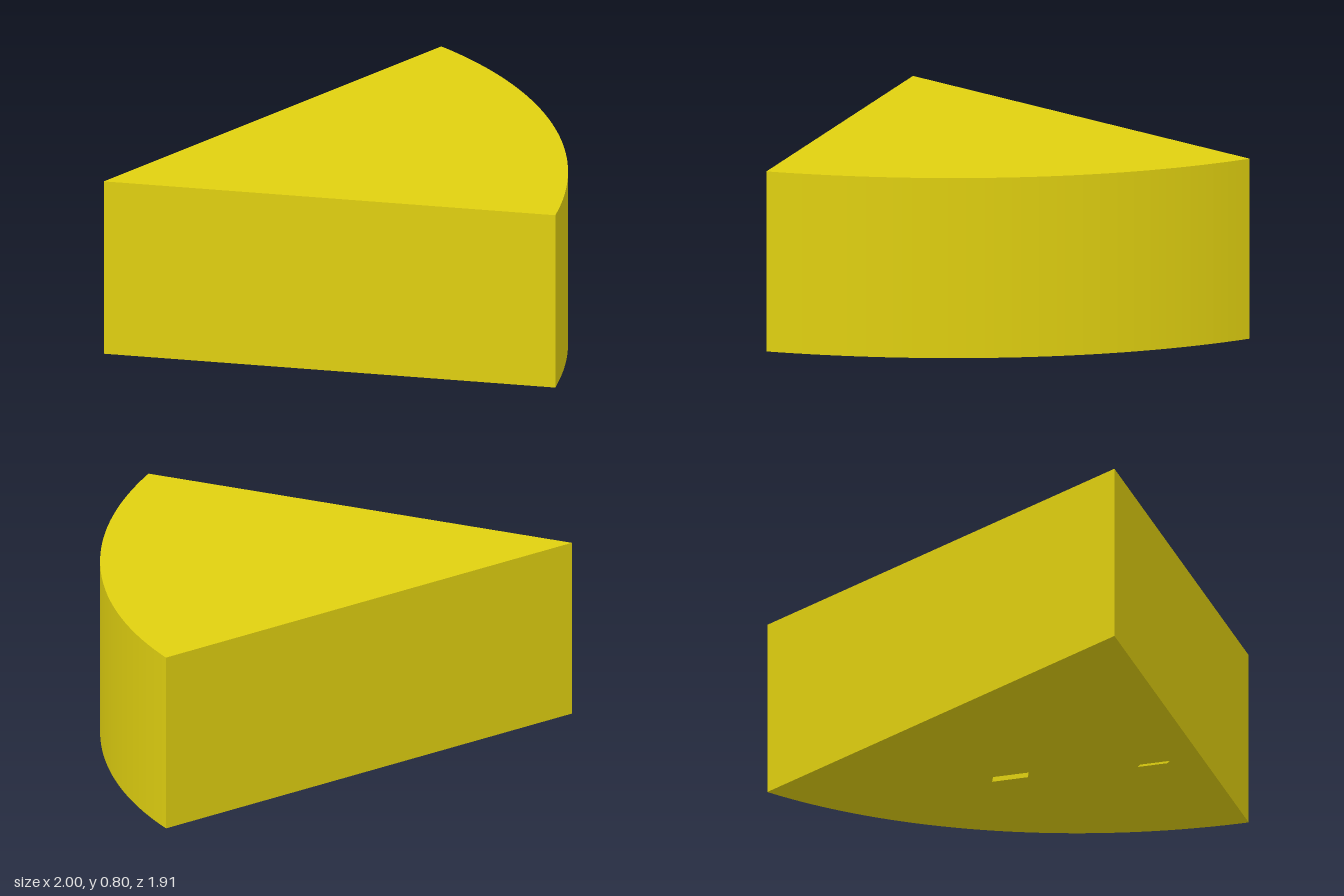
import * as THREE from 'three';

const HEIGHT = 0.8;
const RECESS = 0.16;

// Wedge outline in plan (shape y = -z): sharp corner plus an elliptical rind
function wedgeShape() {
  const s = new THREE.Shape();
  s.moveTo(-1, -0.953);
  s.lineTo(1, -0.953);
  s.absellipse(-1, -0.953, 2, 2.277, 0, 0.992, false, 0);
  s.closePath();
  return s;
}

// Narrow slit running along z
function slit(x, z, width, length) {
  const p = new THREE.Path();
  const w = width / 2, l = length / 2;
  p.moveTo(x - w, -z - l);
  p.lineTo(x - w, -z + l * 0.8);
  p.lineTo(x + w, -z + l);
  p.lineTo(x + w, -z - l * 0.8);
  p.closePath();
  return p;
}

function slab(name, shape, y, depth, material) {
  const geo = new THREE.ExtrudeGeometry(shape, { depth, bevelEnabled: false, curveSegments: 28 });
  geo.rotateX(-Math.PI / 2);
  const mesh = new THREE.Mesh(geo, material);
  mesh.name = name;
  mesh.position.y = y;
  return mesh;
}

export function createModel() {
  const group = new THREE.Group();
  group.name = 'wedge';
  const yellow = new THREE.MeshStandardMaterial({ color: 0xe0d010 });

  // Lower layer with two small slits in its underside
  const lower = wedgeShape();
  lower.holes.push(slit(0.255, 0.1, 0.045, 0.18), slit(0.306, 0.734, 0.02, 0.15));
  group.add(slab('wedgeBase', lower, 0, RECESS, yellow));

  // Solid upper layer
  group.add(slab('wedgeBody', wedgeShape(), RECESS, HEIGHT - RECESS, yellow));
  return group;
}
